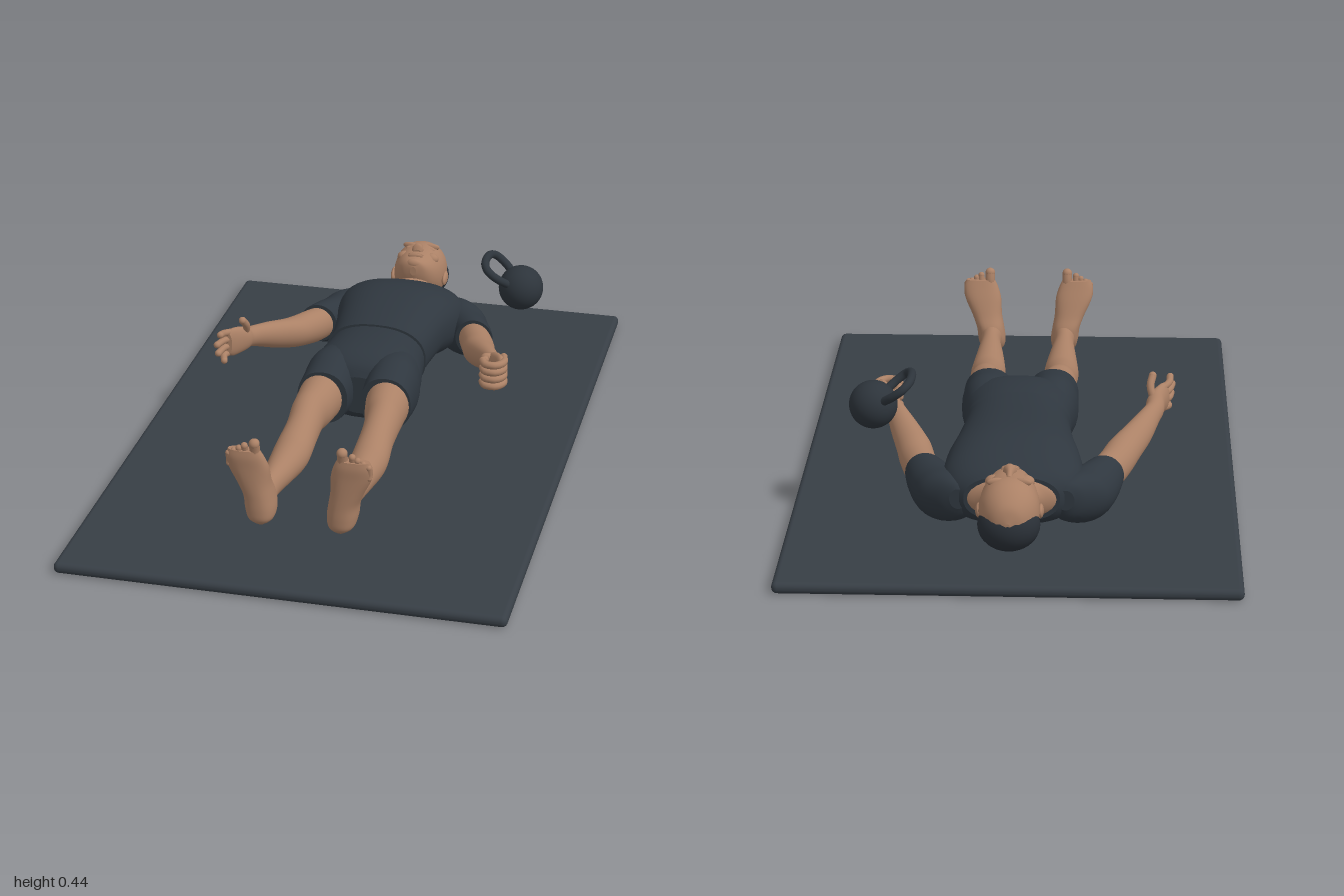
import * as THREE from 'three';
import { RoundedBoxGeometry } from 'three/addons/geometries/RoundedBoxGeometry.js';

const paint = (name, color) => {
  const m = new THREE.MeshStandardMaterial({ color });
  m.name = name;
  return m;
};

// Smooth interpolation between rows of numbers
function smoothRows(rows, steps) {
  const out = [], last = rows.length - 1;
  for (let i = 0; i < last; i++) {
    const [a, b, c, d] = [rows[Math.max(i - 1, 0)], rows[i], rows[i + 1], rows[Math.min(i + 2, last)]];
    for (let k = 0; k < steps; k++) {
      const t = k / steps;
      out.push(b.map((_, j) => 0.5 * (2 * b[j] + (c[j] - a[j]) * t
        + (2 * a[j] - 5 * b[j] + 4 * c[j] - d[j]) * t * t
        + (3 * b[j] - a[j] - 3 * c[j] + d[j]) * t * t * t)));
    }
  }
  out.push(rows[last]);
  return out;
}

// Closed skin over rounded sections: [along, centreX, centreOther, radiusX, radiusOther]
function loft(rows, { axis = 'z', power = 2, sides = 28, steps = 5 } = {}) {
  const rings = smoothRows(rows, steps), pos = [], idx = [];
  const bend = (v) => Math.sign(v) * Math.abs(v) ** (2 / power);
  const put = (x, other, t) => (axis === 'z' ? pos.push(x, other, t) : pos.push(x, t, other));
  const flip = axis === 'z' ? 1 : -1;
  const ring = ([t, a, b, ra, rb]) => {
    for (let j = 0; j < sides; j++) {
      const th = (j / sides) * Math.PI * 2;
      put(a + Math.max(ra, 0.001) * bend(Math.cos(th)), b + flip * Math.max(rb, 0.001) * bend(Math.sin(th)), t);
    }
  };
  rings.forEach(ring);
  for (let i = 0; i < rings.length - 1; i++) {
    for (let j = 0; j < sides; j++) {
      const p = i * sides + j, q = i * sides + (j + 1) % sides;
      idx.push(p, q, q + sides, p, q + sides, p + sides);
    }
  }
  [rings[0], rings[rings.length - 1]].forEach((r, end) => {
    const base = pos.length / 3;
    ring(r);
    put(r[1], r[2], r[0]);
    for (let j = 0; j < sides; j++) {
      const p = base + j, q = base + (j + 1) % sides;
      idx.push(base + sides, end ? p : q, end ? q : p);
    }
  });
  const g = new THREE.BufferGeometry();
  g.setAttribute('position', new THREE.Float32BufferAttribute(pos, 3));
  g.setIndex(idx);
  g.computeVertexNormals();
  return g;
}

export function createModel() {
  const model = new THREE.Group();
  const skin = paint('skin', 0xab8166), cloth = paint('cloth', 0x2f373f);
  const matGrey = paint('mat grey', 0x373e45), iron = paint('iron', 0x2d343b);
  const hairDark = paint('hair', 0x2a3037);

  const add = (name, geo, material, parent = model) => {
    const m = new THREE.Mesh(geo, material);
    m.name = name;
    parent.add(m);
    return m;
  };
  const ball = (name, material, p, s, parent = model) => {
    const m = add(name, new THREE.SphereGeometry(1, 24, 16), material, parent);
    m.position.set(...p);
    m.scale.set(...s);
    return m;
  };
  // Bent finger or toe with round ends
  const digit = (name, pts, r, parent = model) => {
    const v = pts.map((p) => new THREE.Vector3(...p));
    add(name, new THREE.TubeGeometry(new THREE.CatmullRomCurve3(v), 14, r, 10), skin, parent);
    for (const p of [pts[0], pts[pts.length - 1]]) ball(name + 'End', skin, p, [r, r, r], parent);
  };

  // Exercise mat
  add('mat', new RoundedBoxGeometry(1.28, 0.034, 2, 4, 0.016), matGrey).position.y = 0.017;

  // Shirt and shorts
  add('shirt', loft([
    [-0.682, 0, 0.155, 0.135, 0.068], [-0.655, 0, 0.155, 0.175, 0.088], [-0.6, 0, 0.16, 0.2, 0.11],
    [-0.53, 0, 0.166, 0.198, 0.124], [-0.47, 0, 0.176, 0.188, 0.12], [-0.4, 0, 0.185, 0.173, 0.11],
    [-0.3, 0, 0.185, 0.16, 0.106], [-0.23, 0, 0.184, 0.154, 0.106], [-0.2, 0, 0.183, 0.157, 0.107],
  ], { power: 2.4, sides: 40 }), cloth);
  add('shortsHips', loft([
    [-0.22, 0, 0.182, 0.15, 0.1], [-0.15, 0, 0.178, 0.158, 0.109], [-0.08, 0, 0.174, 0.168, 0.112],
    [-0.03, 0, 0.17, 0.165, 0.107], [0.01, 0, 0.165, 0.12, 0.088], [0.03, 0, 0.16, 0.06, 0.06],
  ], { power: 2.3, sides: 40 }), cloth);

  // Neck and head
  add('neck', loft([
    [-0.82, 0, 0.185, 0.055, 0.06], [-0.76, 0, 0.175, 0.056, 0.053], [-0.725, 0, 0.163, 0.06, 0.053],
    [-0.7, 0, 0.158, 0.088, 0.055], [-0.68, 0, 0.155, 0.128, 0.063], [-0.66, 0, 0.155, 0.13, 0.06],
  ]), skin);
  const head = new THREE.Group();
  head.name = 'head';
  model.add(head);
  add('skull', loft([
    [-0.953, 0, 0.19, 0.006, 0.008], [-0.943, 0, 0.192, 0.038, 0.044], [-0.92, 0, 0.193, 0.063, 0.07],
    [-0.89, 0, 0.194, 0.079, 0.089], [-0.86, 0, 0.196, 0.084, 0.095], [-0.83, 0, 0.197, 0.083, 0.093],
    [-0.8, 0, 0.203, 0.078, 0.086], [-0.77, 0, 0.214, 0.068, 0.072], [-0.75, 0, 0.225, 0.055, 0.057],
    [-0.735, 0, 0.238, 0.036, 0.037], [-0.728, 0, 0.243, 0.01, 0.015],
  ], { power: 2.15 }), skin);
  ball('hair', hairDark, [0, 0.168, -0.884], [0.086, 0.074, 0.073], head);
  add('nose', loft([
    [-0.845, 0, 0.283, 0.008, 0.01], [-0.815, 0, 0.288, 0.011, 0.016], [-0.798, 0, 0.289, 0.019, 0.022],
    [-0.788, 0, 0.284, 0.013, 0.01],
  ], { sides: 14 }), skin, head);
  for (const y of [-0.771, -0.761]) ball('lip', skin, [0, 0.283, y], [0.025, 0.009, 0.005], head);
  ball('chin', skin, [0, 0.265, -0.742], [0.025, 0.016, 0.013], head);
  for (const s of [1, -1]) {
    ball('brow', skin, [s * 0.034, 0.279, -0.852], [0.027, 0.012, 0.008], head).rotation.y = s * 0.15;
    ball('eyelid', skin, [s * 0.034, 0.276, -0.835], [0.014, 0.008, 0.007], head);
    ball('cheek', skin, [s * 0.042, 0.26, -0.803], [0.026, 0.019, 0.02], head);
    ball('ear', skin, [s * 0.085, 0.185, -0.828], [0.009, 0.02, 0.03], head).rotation.x = 0.2;
  }

  // Paired limbs; the open right arm reaches a little further out
  for (const s of [1, -1]) {
    const side = s > 0 ? 'left' : 'right';
    const mirror = (rows) => rows.map(([t, a, ...rest]) => [t, s * a, ...rest]);
    const limb = (name, material, rows, options) => add(side + name, loft(mirror(rows), options), material);

    limb('Sleeve', cloth, [
      [-0.675, 0.15, 0.15, 0.025, 0.03], [-0.66, 0.16, 0.143, 0.05, 0.055], [-0.62, 0.178, 0.134, 0.084, 0.075],
      [-0.57, 0.2, 0.125, 0.086, 0.081], [-0.52, 0.232, 0.134, 0.072, 0.073], [-0.478, 0.253, 0.144, 0.06, 0.063],
    ]);
    const reach = s < 0 ? 0.03 : 0;
    limb('Arm', skin, [
      [-0.53, 0.235, 0.138, 0.045, 0.05], [-0.46, 0.262, 0.144, 0.052, 0.055], [-0.4, 0.282, 0.152, 0.052, 0.053],
      [-0.34, 0.297, 0.166, 0.051, 0.05], [-0.27, 0.325, 0.188, 0.043, 0.045], [-0.2, 0.354, 0.212, 0.032, 0.036],
      [-0.16, 0.371, 0.223, 0.028, 0.033], [-0.13, 0.388, 0.232, 0.027, 0.041],
      [-0.09, 0.408, 0.236, 0.02, 0.046], [-0.072, 0.414, 0.236, 0.01, 0.034],
    ].map(([z, x, ...r]) => [z, x + reach * THREE.MathUtils.smoothstep(z, -0.48, -0.2) * (z > -0.15 ? 0.6 : 1), ...r]));

    limb('ShortsLeg', cloth, [
      [-0.1, 0.088, 0.17, 0.076, 0.095], [-0.03, 0.095, 0.17, 0.08, 0.105],
      [0.03, 0.095, 0.169, 0.079, 0.098], [0.09, 0.097, 0.17, 0.077, 0.084],
    ], { power: 2.2 });
    limb('Leg', skin, [
      [0.05, 0.1, 0.17, 0.07, 0.078], [0.15, 0.107, 0.165, 0.06, 0.071], [0.2, 0.113, 0.162, 0.053, 0.066],
      [0.27, 0.113, 0.146, 0.05, 0.06], [0.36, 0.115, 0.13, 0.054, 0.055], [0.42, 0.115, 0.128, 0.052, 0.053],
      [0.52, 0.116, 0.136, 0.042, 0.045], [0.62, 0.118, 0.143, 0.031, 0.038], [0.68, 0.118, 0.142, 0.034, 0.042],
      [0.72, 0.118, 0.142, 0.03, 0.04],
    ]);
    limb('Foot', skin, [
      [0.083, 0.115, 0.722, 0.012, 0.014], [0.1, 0.116, 0.714, 0.036, 0.04], [0.13, 0.118, 0.706, 0.044, 0.052],
      [0.17, 0.123, 0.705, 0.044, 0.053], [0.21, 0.134, 0.715, 0.048, 0.043], [0.26, 0.147, 0.726, 0.058, 0.032],
      [0.295, 0.154, 0.735, 0.055, 0.024], [0.318, 0.156, 0.739, 0.046, 0.017],
    ], { axis: 'y', power: 2.3 });
    for (let i = 0; i < 5; i++) {
      const r = i ? 0.0105 - i * 0.0005 : 0.0155;
      const x = i ? 0.138 + i * 0.0155 : 0.125;
      const top = 0.34 - i * 0.009;
      digit(side + 'Toe', [[s * x, 0.285 - i * 0.004, 0.738], [s * x, top - 0.025, 0.738], [s * x, top, 0.744]], r);
    }
  }

  // Left hand curled around an empty grip
  for (let i = 0; i < 4; i++) {
    const y = 0.198 + i * 0.023;
    digit('leftFinger', [[0.415, y, -0.115], [0.421, y, -0.075], [0.4, y, -0.048],
      [0.37, y, -0.052], [0.358, y, -0.075]], 0.0115);
  }
  digit('leftThumb', [[0.378, 0.25, -0.145], [0.357, 0.258, -0.12], [0.362, 0.264, -0.088]], 0.012);

  // Right hand open with spread fingers
  [[-0.448, 0.282, -0.035], [-0.455, 0.254, -0.022], [-0.452, 0.226, -0.022], [-0.437, 0.198, -0.034]]
    .forEach(([x, y, z], i) => {
      const knuckle = 0.268 - i * 0.021;
      digit('rightFinger', [[-0.423, knuckle, -0.1], [-0.445, (knuckle + y) / 2, -0.065], [x, y, z]], 0.0105);
    });
  digit('rightThumb', [[-0.4, 0.245, -0.14], [-0.389, 0.282, -0.12], [-0.395, 0.308, -0.098]], 0.0115);

  // Kettlebell, tilted so the handle points up and inward
  const bell = new THREE.Group();
  bell.name = 'kettlebell';
  bell.position.set(0.402, 0.346, -0.457);
  add('bellBody', new THREE.SphereGeometry(0.069, 36, 24), iron, bell);
  const handle = [[-0.045, 0.04], [-0.066, 0.08], [-0.067, 0.115], [-0.04, 0.135],
    [0.04, 0.135], [0.067, 0.115], [0.066, 0.08], [0.045, 0.04]].map(([z, y]) => new THREE.Vector3(0, y, z));
  add('bellHandle', new THREE.TubeGeometry(new THREE.CatmullRomCurve3(handle), 48, 0.0125, 14), iron, bell)
    .rotation.z = 0.91;
  // Small tan patch on the upper outer side
  add('bellPatch', new THREE.SphereGeometry(0.0702, 10, 10, Math.PI - 0.2, 0.4, Math.PI / 2 - 0.37, 0.74), skin, bell)
    .rotation.set(Math.PI / 2, 0, 0);
  const patch = bell.children[2];
  patch.rotation.set(0, 0, 1.03);
  patch.geometry.rotateY(Math.PI);
  model.add(bell);

  return model;
}
